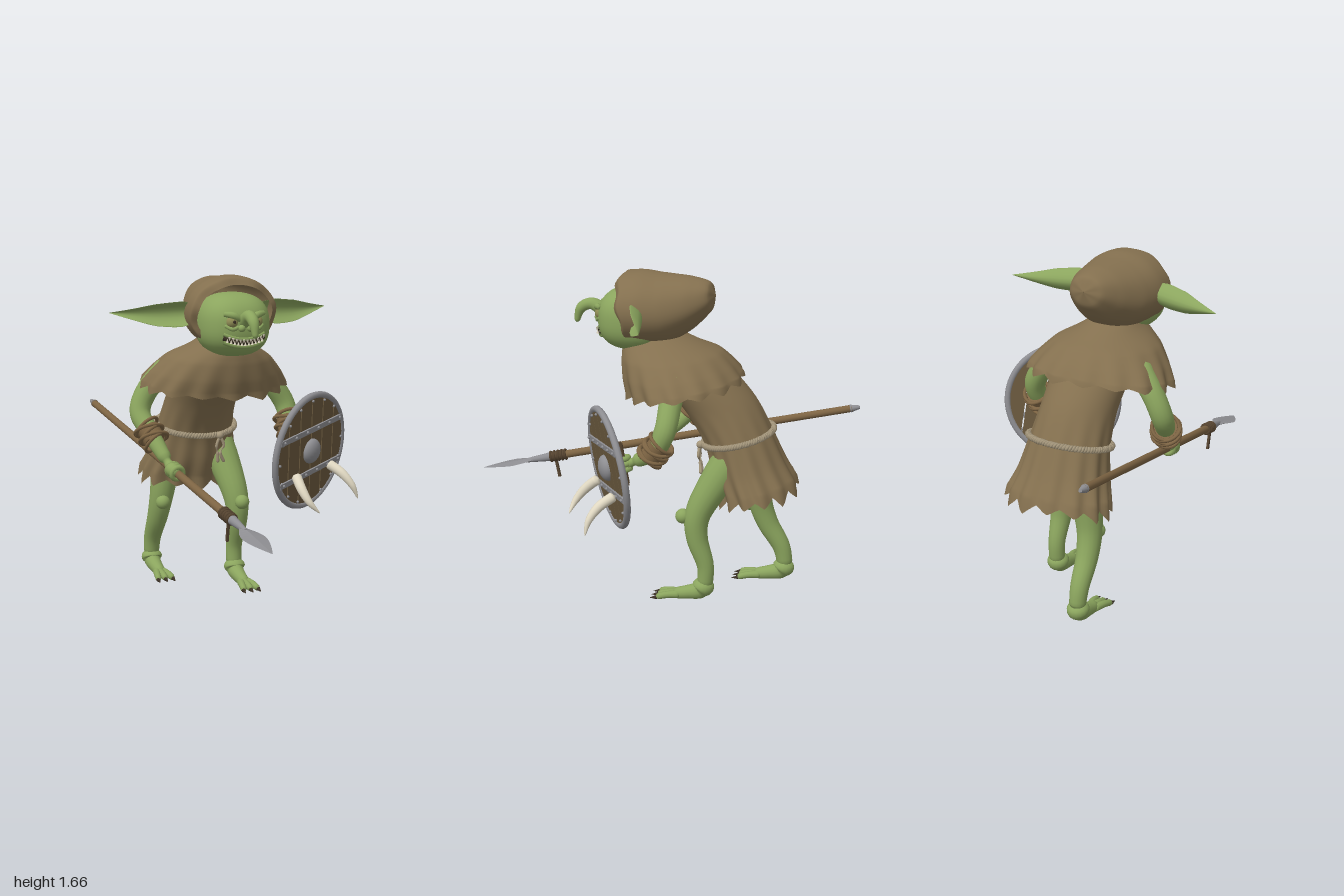
import * as THREE from 'three';

const mat = (name, color, side = THREE.DoubleSide) => {
  const m = new THREE.MeshStandardMaterial({ color, side });
  m.name = name;
  return m;
};
const V = (x, y, z) => new THREE.Vector3(x, y, z);

export function createModel() {
  const skin = mat('skin', 0x8ba55e), cloth = mat('cloth', 0x84704f), wood = mat('wood', 0x7d6443),
    plank = mat('shieldWood', 0x6a593e), metal = mat('metal', 0x8e8e92), ivory = mat('ivory', 0xe0d8c2),
    rope = mat('rope', 0xa5977c), leather = mat('leather', 0x564430), eyeCol = mat('eye', 0x8f8c55), dark = mat('dark', 0x3c3226);
  const model = new THREE.Group();

  const add = (parent, name, geo, m, pos = [0, 0, 0]) => {
    const mesh = new THREE.Mesh(geo, m);
    mesh.name = name;
    mesh.position.set(...pos);
    parent.add(mesh);
    return mesh;
  };
  const group = (parent, name, pos = [0, 0, 0]) => {
    const g = new THREE.Group();
    g.name = name;
    g.position.set(...pos);
    parent.add(g);
    return g;
  };
  const ball = (parent, name, r, m, pos, s = [1, 1, 1]) =>
    add(parent, name, new THREE.SphereGeometry(r, 20, 14), m, pos).scale.set(...s);

  // Surface closed around angle a, running along t from 0 to 1
  const surface = (nu, nv, fn) => {
    const pos = [], idx = [];
    for (let j = 0; j <= nv; j++) for (let i = 0; i < nu; i++) pos.push(...fn(i / nu * Math.PI * 2, j / nv));
    for (let j = 0; j < nv; j++) for (let i = 0; i < nu; i++) {
      const a = j * nu + i, b = j * nu + (i + 1) % nu;
      idx.push(a, b, a + nu, b, b + nu, a + nu);
    }
    const g = new THREE.BufferGeometry();
    g.setAttribute('position', new THREE.Float32BufferAttribute(pos, 3));
    g.setIndex(idx);
    g.computeVertexNormals();
    return g;
  };
  const curves = rows => [0, 3].map(k => new THREE.CatmullRomCurve3(rows.map(r => V(r[k], r[k + 1] ?? 0, r[k + 2] ?? 0))));

  // Rounded limb through points [x, y, z, radius]
  const limb = (rows, nu = 16, nv = 36, cap = 0.06) => {
    const [path, rad] = curves(rows);
    return surface(nu, nv, (a, t) => {
      const c = path.getPoint(t), T = path.getTangent(t);
      const N = V(1, 0, 0).addScaledVector(T, -T.x).normalize(), B = T.clone().cross(N);
      const d = Math.min(1, Math.min(t, 1 - t) / cap);
      const r = rad.getPoint(t).x * Math.sqrt(1 - (1 - d) ** 2);
      return c.addScaledVector(N, r * Math.cos(a)).addScaledVector(B, r * Math.sin(a)).toArray();
    });
  };
  // Ragged cloth through rings [x, y, z, rx, rz, tilt], hem first
  const garment = (rows, teeth, depth, fold) => {
    const [path, size] = curves(rows);
    return surface(teeth * 8, 28, (a, t) => {
      const c = path.getPoint(t), s = size.getPoint(t), low = Math.max(0, 1 - t * 1.6);
      const f = 1 + fold * low * Math.cos(teeth * a) + fold * 0.5 * low * Math.sin(5 * a);
      const tooth = Math.abs(((a * teeth / Math.PI / 2) % 1) * 2 - 1) * (0.7 + 0.3 * Math.sin(3 * a));
      const y = c.y - s.z * Math.cos(a) - (t < 0.01 ? depth * tooth : 0);
      return [c.x + s.x * f * Math.sin(a), y, c.z + s.y * f * Math.cos(a)];
    });
  };

  // Clothes
  add(model, 'tunic', garment([[-.05, .59, -.56, .27, .19, .04], [-.05, .7, -.505, .23, .18, .04],
    [-.05, .855, -.445, .2, .165, .04], [-.05, 1, -.36, .185, .172, .04],
    [-.05, 1.12, -.26, .185, .18, .03], [-.05, 1.25, -.16, .14, .14, 0]], 13, .06, .05), cloth);
  add(model, 'cape', garment([[-.05, 1.115, -.175, .38, .285, .045], [-.05, 1.18, -.14, .335, .275, .035],
    [-.05, 1.255, -.1, .265, .25, .02], [-.05, 1.315, -.06, .165, .2, 0], [-.05, 1.36, -.04, .11, .12, 0]], 15, .03, .03), cloth);

  // Twisted rope belt with knot and hanging cords
  const belt = group(model, 'belt');
  for (const phase of [0, Math.PI]) {
    const pts = [];
    for (let i = 0; i < 360; i++) {
      const a = i / 360 * Math.PI * 2, w = a * 44 + phase, o = .008 * Math.cos(w);
      pts.push(V(-.05 + (.21 + o) * Math.sin(a), .855 - .042 * Math.cos(a) + .008 * Math.sin(w), -.445 + (.174 + o) * Math.cos(a)));
    }
    add(belt, 'ropeStrand', new THREE.TubeGeometry(new THREE.CatmullRomCurve3(pts, true), 720, .009, 5, true), rope);
  }
  ball(belt, 'knot', .02, rope, [.02, .812, -.265]);
  for (const s of [-1, 1]) add(belt, 'cord', limb([[.02, .81, -.262, .008], [.02 + s * .02, .76, -.26, .008],
    [.015 + s * .008, .72, -.265, .008], [.03 + s * .018, .665, -.275, .009]], 8), rope);

  // Head: a squarish rounded skull
  const head = group(model, 'head', [-.05, 1.43, .09]);
  const A = .175, B = .156, C = .18, P = 2.5;
  const skull = new THREE.SphereGeometry(1, 40, 28), sp = skull.attributes.position;
  for (let i = 0; i < sp.count; i++) {
    const x = sp.getX(i), y = sp.getY(i), z = sp.getZ(i);
    const r = (Math.abs(x / A) ** P + Math.abs(y / B) ** P + Math.abs(z / C) ** P) ** (-1 / P);
    sp.setXYZ(i, x * r, y * r, z * r);
  }
  skull.computeVertexNormals();
  add(head, 'skull', skull, skin);
  const faceZ = (x, y) => C * Math.max(0, 1 - Math.abs(x / A) ** P - Math.abs(y / B) ** P) ** (1 / P);
  add(head, 'nose', limb([[0, .02, .155, .036], [0, .055, .225, .03], [0, .03, .28, .026], [0, -.045, .305, .012]]), skin);
  const mouthY = x => -.075 + 2.2 * x * x;
  const arc = (dy, dz, r, w) => limb([-1, -.5, 0, .5, 1].map(k => {
    const x = k * w, y = mouthY(x) + dy;
    return [x, y + k * 1e-4, faceZ(x, y) + dz, r];
  }).map(([x, y, z, r]) => [x, y, z, r]), 10);
  // The mouth runs sideways, so it uses plain tubes
  const lip = (dy, dz, r, w) => new THREE.TubeGeometry(new THREE.CatmullRomCurve3([-1, -.6, -.2, .2, .6, 1].map(k =>
    V(k * w, mouthY(k * w) + dy, faceZ(k * w, mouthY(k * w) + dy) + dz))), 30, r, 8);
  add(head, 'mouth', lip(0, -.004, .013, .105), dark);
  add(head, 'lowerLip', lip(-.02, 0, .012, .1), skin);
  add(head, 'upperLip', lip(.017, -.002, .009, .105), skin);
  for (let i = -5; i <= 5; i++) for (const s of [-1, 1]) {
    const x = (i + (s > 0 ? .5 : 0)) * .018, y = mouthY(x) + s * .005;
    add(head, 'tooth', new THREE.ConeGeometry(.007, .02, 6), ivory, [x, y, faceZ(x, y) + .011]).rotation.z = s > 0 ? Math.PI : 0;
  }
  for (const s of [-1, 1]) {
    ball(head, 'eye', .031, eyeCol, [s * .063, .025, .158]);
    ball(head, 'pupil', .01, dark, [s * .061, .026, .184], [1, 1, .6]);
    add(head, 'brow', limb([[s * .022, .035, .178, .014], [s * .06, .056, .178, .017], [s * .105, .064, .155, .012]], 10), skin);
    add(head, 'eyeBag', limb([[s * .03, .004, .172, .008], [s * .063, -.009, .178, .01], [s * .1, .008, .155, .008]], 10), skin);
    ball(head, 'nostril', .018, skin, [s * .022, -.005, .185]);
    // Long cupped ear
    const earH = new THREE.CatmullRomCurve3([V(.04, 0, 0), V(.062, 0, 0), V(.054, 0, 0), V(.028, 0, 0), V(.001, 0, 0)]);
    add(head, 'ear', surface(20, 28, (a, t) => {
      const h = earH.getPoint(t).x, c = Math.cos(a);
      return [s * (.15 + .425 * t), .058 + h * c - .01 * Math.sin(Math.PI * t),
        -.07 - .1 * t + .85 * h * c * c + s * h * .14 * Math.sin(a) * s * s * s];
    }), skin);
  }

  // Hood: a bag with its tip at the back and an opening round the face
  const [hoodA, hoodB] = curves([[-.318, 1.56, 0, .003, .003], [-.295, 1.555, 0, .085, .07], [-.2, 1.52, 0, .15, .13],
    [-.08, 1.49, 0, .2, .168], [.04, 1.488, 0, .225, .18], [.11, 1.483, 0, .225, .177], [.13, 1.475, 0, .195, .15]]);
  add(model, 'hood', surface(48, 40, (a, t) => {
    const c = hoodA.getPoint(t), r = hoodB.getPoint(t);
    return [-.05 + r.x * Math.cos(a), c.y + r.y * Math.sin(a), c.x + t * (.035 * Math.sin(a) + .008 * Math.sin(a * 7))];
  }), cloth);
  add(model, 'neck', limb([[-.05, 1.2, -.16, .1], [-.05, 1.3, -.06, .09], [-.05, 1.4, .03, .09]]), skin);

  // Arms with bracelets
  const arm = (side, rows, at, dir) => {
    const g = group(model, side + 'Arm');
    add(g, 'arm', limb(rows), skin);
    const b = group(g, 'bracelets', at);
    b.lookAt(V(...at).add(V(...dir)));
    const cuff = add(b, 'cuff', new THREE.CylinderGeometry(.056, .056, .075, 20), wood);
    cuff.rotation.x = Math.PI / 2;
    [-.048, -.025, 0, .025, .048].forEach((z, i) => {
      const ring = add(b, 'ring', new THREE.TorusGeometry(i % 2 ? .072 : .066, .009, 8, 28), wood, [0, 0, z]);
      ring.rotation.set(i % 2 ? .2 : -.12, i % 2 ? -.18 : .15, 0);
    });
  };
  arm('right', [[-.26, 1.22, -.19, .065], [-.385, 1.08, -.23, .056], [-.43, .97, -.22, .053], [-.4, .865, -.13, .045],
    [-.362, .76, -.03, .034], [-.345, .715, .02, .034]], [-.4, .865, -.13], [.04, -.1, .09]);
  arm('left', [[.17, 1.22, -.17, .065], [.28, 1.08, -.17, .056], [.345, .97, -.16, .053], [.345, .87, -.11, .045],
    [.325, .81, -.02, .034], [.318, .785, .04, .034]], [.345, .875, -.115], [-.01, -.1, .07]);

  // Legs, feet, toes and claws
  ball(model, 'pelvis', .16, skin, [-.05, .74, -.49], [1.05, .85, .85]);
  const leg = (side, rows, knee, x, heel) => {
    const g = group(model, side + 'Leg');
    add(g, 'leg', limb(rows), skin);
    ball(g, 'knee', .038, skin, knee);
    add(g, 'foot', limb([[x, .13, heel + .005, .044], [x, .07, heel + .025, .044], [x, .048, heel + .09, .036], [x, .03, heel + .18, .028]], 16, 24, .15), skin);
    for (const s of [-1, 0, 1]) {
      add(g, 'toe', limb([[x + s * .012, .035, heel + .13, .022], [x + s * .03, .032, heel + .2, .018], [x + s * .04, .018, heel + .255, .016]], 10, 16, .15), skin);
      add(g, 'claw', new THREE.ConeGeometry(.011, .04, 8), dark, [x + s * .042, .014, heel + .27]).rotation.x = 1.75;
    }
  };
  leg('left', [[.04, .8, -.46, .1], [.08, .66, -.37, .085], [.115, .47, -.275, .065], [.12, .35, -.275, .055],
    [.12, .2, -.32, .043], [.12, .08, -.318, .04]], [.12, .46, -.2], .12, -.325);
  leg('right', [[-.14, .8, -.51, .1], [-.19, .62, -.525, .078], [-.215, .45, -.535, .063], [-.225, .33, -.575, .055],
    [-.23, .2, -.65, .046], [-.23, .09, -.675, .04]], [-.225, .43, -.478], -.23, -.68);

  // Spear, built along its own z from the butt, with the hand that grips it
  const spear = group(model, 'spear', [-.465, .92, -1]);
  spear.lookAt(-.21, .5, .99);
  const rod = (parent, name, z0, z1, r0, r1, m) =>
    add(parent, name, new THREE.CylinderGeometry(r1, r0, z1 - z0, 14), m, [0, 0, (z0 + z1) / 2]).rotation.x = Math.PI / 2;
  rod(spear, 'shaft', .04, 1.68, .019, .021, wood);
  rod(spear, 'buttCap', 0, .05, .009, .021, metal);
  rod(spear, 'binding', 1.58, 1.67, .026, .026, leather);
  for (let i = 0; i < 5; i++) add(spear, 'wrap', new THREE.TorusGeometry(.025, .007, 6, 16), leather, [0, 0, 1.585 + i * .02]);
  rod(spear, 'socket', 1.67, 1.8, .024, .012, metal);
  const bladeW = new THREE.CatmullRomCurve3([.012, .045, .06, .05, .028, .001].map(w => V(w, 0, 0)));
  const blade = surface(4, 14, (a, t) => {
    const w = bladeW.getPoint(t).x;
    return [w * Math.cos(a), Math.sin(a) * .012 * (1 - t), 1.76 + .288 * t];
  }).toNonIndexed();
  blade.computeVertexNormals();
  add(spear, 'blade', blade, metal);
  add(model, 'strap', new THREE.BoxGeometry(.012, .12, .014), leather, [-.265, .525, .585]).rotation.x = .2;
  const fist = (parent, z) => {
    ball(parent, 'palm', .04, skin, [-.012, .008, z], [.9, .9, 1.15]);
    for (let i = -1; i <= 1; i++) add(parent, 'finger', new THREE.TorusGeometry(.03, .014, 8, 20), skin, [0, 0, z + i * .027]);
  };
  fist(spear, 1.065);

  // Round shield of separate planks
  const shield = group(model, 'shield', [.36, .775, .115]);
  shield.lookAt(.36 + .52, .775 - .14, .115 + .85);
  shield.rotateZ(.15);
  const R = .288, n = 6, w = 2 * R / n;
  for (let i = 0; i < n; i++) {
    const x0 = -R + i * w + .004, x1 = x0 + w - .008, pts = [];
    for (let k = 0; k <= 16; k++) {
      const x = x0 + (x1 - x0) * (k % 17) / 16;
      pts.push(new THREE.Vector2(x, Math.sqrt(R * R - x * x)));
    }
    const outline = [...pts, ...pts.slice().reverse().map(p => new THREE.Vector2(p.x, -p.y))];
    add(shield, 'plank', new THREE.ExtrudeGeometry(new THREE.Shape(outline), { depth: .02, bevelEnabled: false }), plank, [0, 0, -.01]);
  }
  add(shield, 'rim', new THREE.TorusGeometry(.291, .017, 10, 64), metal);
  for (let i = 0; i < 16; i++) {
    const a = i / 16 * Math.PI * 2;
    ball(shield, 'rimRivet', .007, metal, [.268 * Math.cos(a), .268 * Math.sin(a), .013]);
  }
  for (const y of [-.115, .115]) {
    add(shield, 'band', new THREE.BoxGeometry(.53, .028, .01), metal, [0, y, .014]);
    for (let i = -2.5; i < 3; i++) ball(shield, 'rivet', .008, metal, [i * w, y, .02]);
  }
  ball(shield, 'boss', .065, metal, [0, 0, .012], [1, 1, .6]);
  const grip = group(shield, 'grip', [0, 0, -.075]);
  grip.rotation.x = Math.PI / 2;
  rod(grip, 'handle', -.1, .1, .014, .014, leather);
  fist(grip, 0);
  for (const y of [-.1, .1]) add(shield, 'gripPost', new THREE.BoxGeometry(.025, .02, .075), leather, [0, y, -.045]);

  // Curved tusks fixed to the lower band
  add(model, 'tusk', limb([[.25, .67, .2, .026], [.252, .61, .27, .024], [.275, .55, .315, .017], [.322, .497, .335, .003]]), ivory);
  add(model, 'tusk', limb([[.5, .685, .045, .026], [.55, .64, .11, .024], [.59, .58, .15, .017], [.617, .512, .162, .003]]), ivory);
  return model;
}
